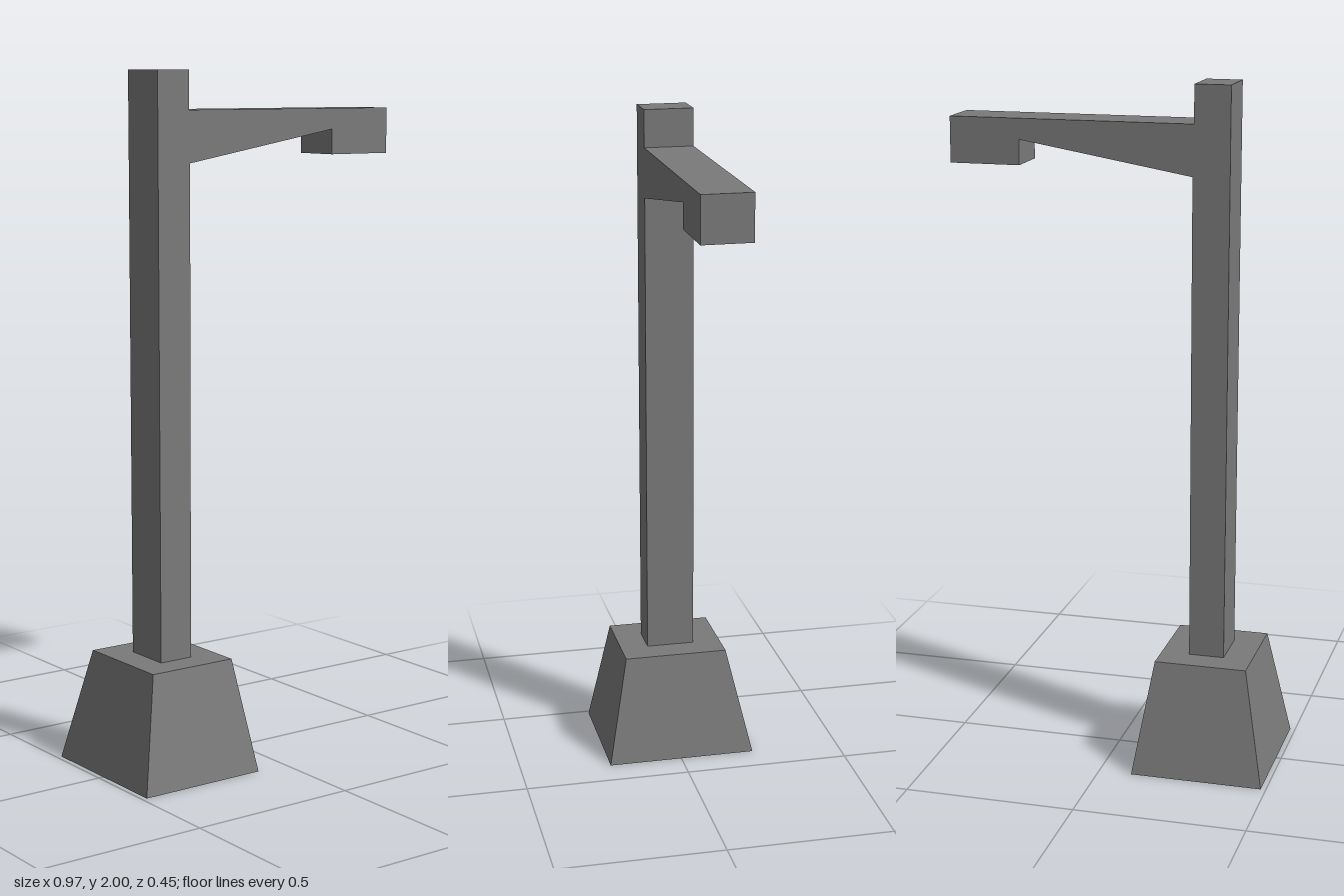
import * as THREE from 'three';

const BACK = -0.068, FRONT = 0.078; // shared depth of post and arm

// Extrude an x/y outline between the back and front planes
function slab(points, material, name) {
  const shape = new THREE.Shape(points.map(([x, y]) => new THREE.Vector2(x, y)));
  const geometry = new THREE.ExtrudeGeometry(shape, { depth: FRONT - BACK, bevelEnabled: false });
  geometry.translate(0, 0, BACK);
  const mesh = new THREE.Mesh(geometry, material);
  mesh.name = name;
  return mesh;
}

export function createModel() {
  const group = new THREE.Group();
  group.name = 'streetLamp';
  const grey = new THREE.MeshStandardMaterial({ color: 0x7a7a7a });
  grey.name = 'grey';

  // Tapered footing: a box whose corners move to the bottom and top rectangles
  const baseGeometry = new THREE.BoxGeometry(1, 1, 1);
  const p = baseGeometry.attributes.position;
  const bottom = { x: [-0.485, -0.097], y: 0, z: [-0.228, 0.224] };
  const top = { x: [-0.419, -0.148], y: 0.33, z: [-0.152, 0.162] };
  for (let i = 0; i < p.count; i++) {
    const r = p.getY(i) > 0 ? top : bottom;
    p.setXYZ(i, r.x[p.getX(i) > 0 ? 1 : 0], r.y, r.z[p.getZ(i) > 0 ? 1 : 0]);
  }
  const flatBase = baseGeometry.toNonIndexed();
  flatBase.computeVertexNormals();
  const base = new THREE.Mesh(flatBase, grey);
  base.name = 'base';

  // Square post, very slightly wider below the arm
  const post = slab([[-0.335, 0.33], [-0.231, 0.33], [-0.228, 1.743], [-0.231, 1.89],
    [-0.231, 2], [-0.335, 2]], grey, 'post');

  // Arm tapering outward, with the lamp head hanging at its end
  const arm = slab([[-0.229, 1.743], [0.277, 1.83], [0.277, 1.757], [0.483, 1.757],
    [0.483, 1.89], [-0.231, 1.89]], grey, 'armAndLampHead');

  group.add(base, post, arm);
  return group;
}
